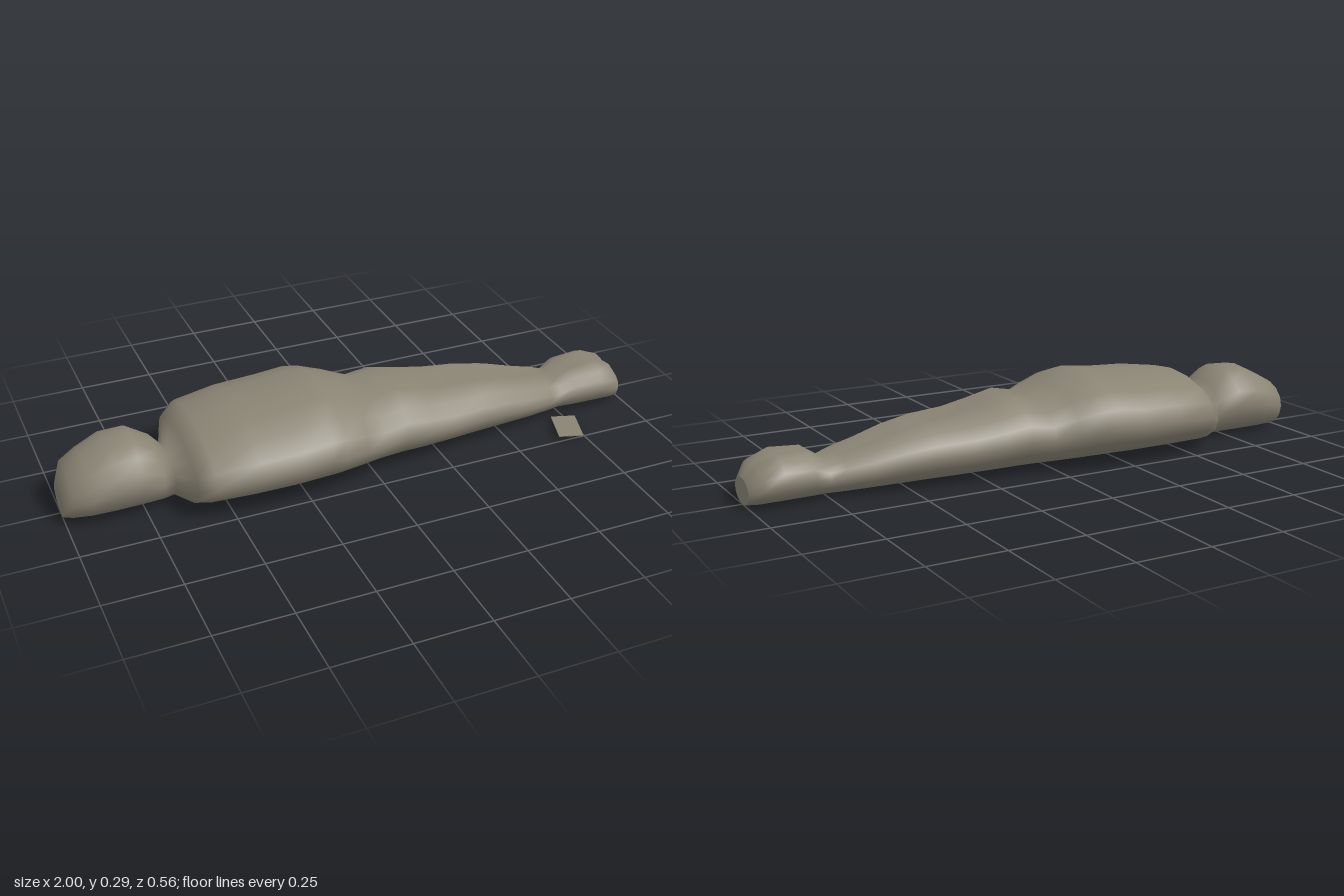
import * as THREE from 'three';

const SIDES = 16;

// Sections along the body: x, half width, top height, depth of the groove between the legs
const SECTIONS = [
  [-1.0, 0.07, 0.10, 0], [-0.975, 0.11, 0.168, 0], [-0.92, 0.135, 0.198, 0],
  [-0.84, 0.15, 0.236, 0], [-0.76, 0.148, 0.24, 0], [-0.69, 0.13, 0.195, 0],
  [-0.65, 0.103, 0.15, 0], [-0.61, 0.22, 0.21, 0], [-0.56, 0.258, 0.25, 0],
  [-0.42, 0.278, 0.27, 0], [-0.28, 0.282, 0.277, 0], [-0.18, 0.277, 0.29, 0],
  [-0.13, 0.27, 0.284, 0], [-0.05, 0.245, 0.258, 0], [0.03, 0.215, 0.226, 0.004],
  [0.11, 0.208, 0.242, 0.006], [0.2, 0.2, 0.222, 0.014], [0.3, 0.185, 0.204, 0.022],
  [0.42, 0.167, 0.196, 0.028], [0.52, 0.152, 0.178, 0.026], [0.62, 0.133, 0.15, 0.018],
  [0.7, 0.114, 0.132, 0.01], [0.75, 0.096, 0.117, 0.006], [0.8, 0.113, 0.15, 0.014],
  [0.9, 0.12, 0.156, 0.016], [0.965, 0.113, 0.13, 0.008], [1.0, 0.065, 0.085, 0],
];

// Closed oval ring standing on the ground, dipped at the top where the legs meet
function ring([x, halfWidth, top, groove]) {
  const points = [];
  const radius = top / 2;
  for (let j = 0; j < SIDES; j++) {
    const a = (j / SIDES) * Math.PI * 2;
    let y = radius + radius * Math.sin(a);
    if (groove > 0) {
      if (j === SIDES / 4) y = top - groove;
      else if (Math.abs(j - SIDES / 4) === 1) y = top - 0.002;
    }
    points.push(x, y, halfWidth * Math.cos(a));
  }
  return points;
}

function meshFrom(positions, indices, material, name) {
  const geometry = new THREE.BufferGeometry();
  geometry.setAttribute('position', new THREE.Float32BufferAttribute(positions, 3));
  geometry.setIndex(indices);
  geometry.computeVertexNormals();
  const mesh = new THREE.Mesh(geometry, material);
  mesh.name = name;
  return mesh;
}

// Smooth skin through all the rings
function wrap(material) {
  const indices = [];
  for (let i = 0; i < SECTIONS.length - 1; i++) {
    for (let j = 0; j < SIDES; j++) {
      const k = (j + 1) % SIDES;
      const a = i * SIDES + j, b = i * SIDES + k;
      const c = a + SIDES, d = b + SIDES;
      indices.push(a, c, d, a, d, b);
    }
  }
  return meshFrom(SECTIONS.flatMap(ring), indices, material, 'wrappedBody');
}

// Flat end closing the skin
function endCap(section, facesRight, material, name) {
  const indices = [];
  for (let j = 1; j < SIDES - 1; j++) {
    indices.push(0, facesRight ? j + 1 : j, facesRight ? j : j + 1);
  }
  return meshFrom(ring(section), indices, material, name);
}

export function createModel() {
  const model = new THREE.Group();
  model.name = 'shroudedBody';
  const cloth = new THREE.MeshStandardMaterial({ color: 0x8a8474 });
  cloth.name = 'drab cloth';

  model.add(
    wrap(cloth),
    endCap(SECTIONS[0], false, cloth, 'headEnd'),
    endCap(SECTIONS[SECTIONS.length - 1], true, cloth, 'footEnd'),
  );

  // Small tag lying beside the feet
  const tag = new THREE.Mesh(new THREE.BoxGeometry(0.084, 0.003, 0.13), cloth);
  tag.name = 'tag';
  tag.position.set(0.715, 0.015, 0.193);
  tag.rotation.y = -0.31;
  model.add(tag);

  return model;
}
